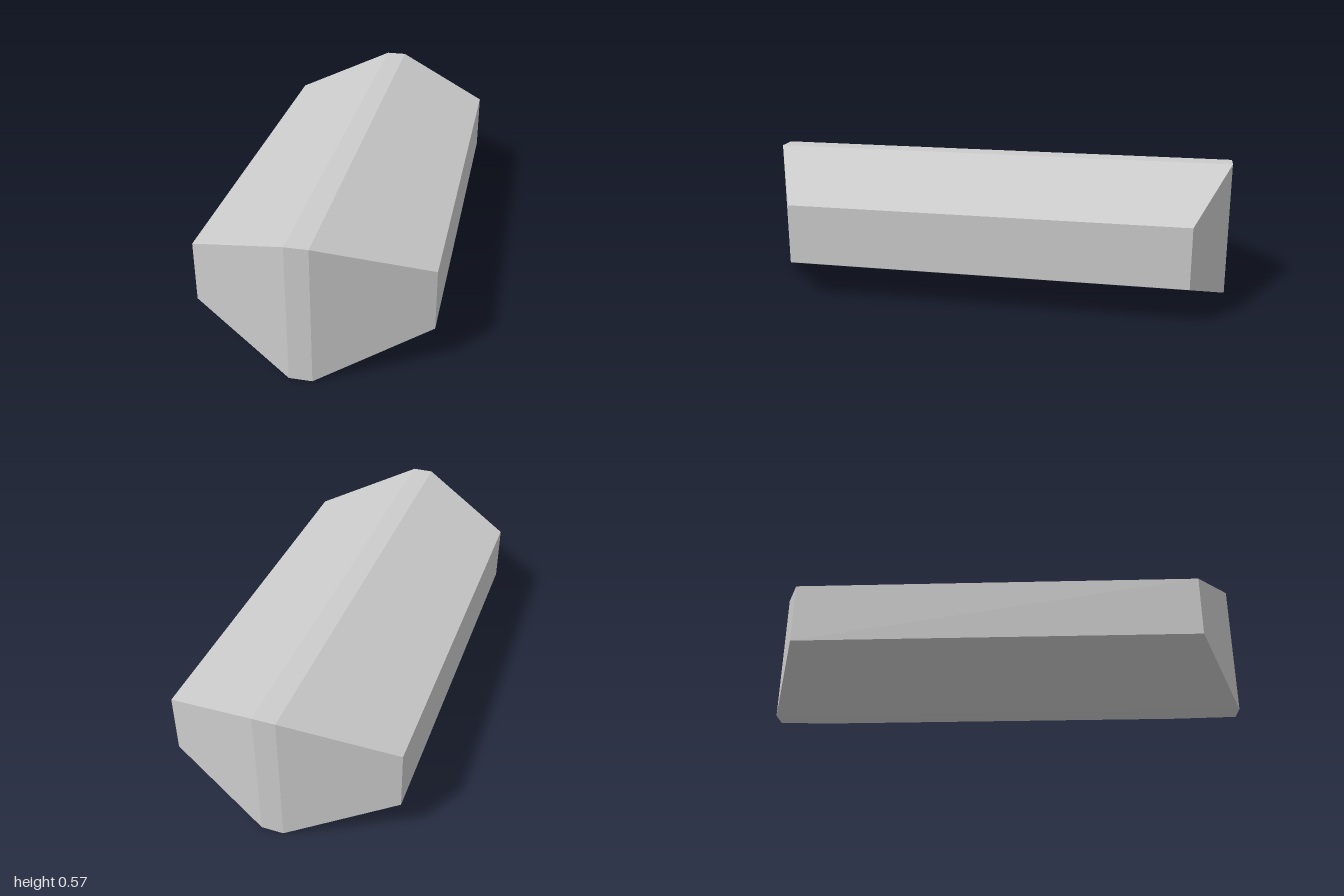
import * as THREE from 'three';

// Cross-section columns from right (-x) to left (+x); the two inner ones form the narrow flat ridge
const EDGE = { x: 0.465, bottom: 0.156, top: 0.405, back: -0.848, front: 0.797 };
const RIDGE = { x: 0.045, bottom: 0, top: 0.567, back: -1, front: 1 };

export function createModel() {
  const group = new THREE.Group();
  group.name = 'facetedBar';

  // Box with three strips across its width, each column moved to its own section
  const box = new THREE.BoxGeometry(3, 2, 2, 3, 1, 1);
  const pos = box.attributes.position;
  for (let i = 0; i < pos.count; i++) {
    const x = pos.getX(i);
    const s = Math.abs(x) > 1 ? EDGE : RIDGE;
    pos.setXYZ(
      i,
      Math.sign(x) * s.x,
      pos.getY(i) > 0 ? s.top : s.bottom,
      pos.getZ(i) > 0 ? s.front : s.back
    );
  }

  // Separate the faces for crisp facets
  const geometry = box.toNonIndexed();
  geometry.computeVertexNormals();

  const body = new THREE.Mesh(
    geometry,
    new THREE.MeshStandardMaterial({ color: 0xcccccc, flatShading: true })
  );
  body.name = 'body';
  group.add(body);
  return group;
}
